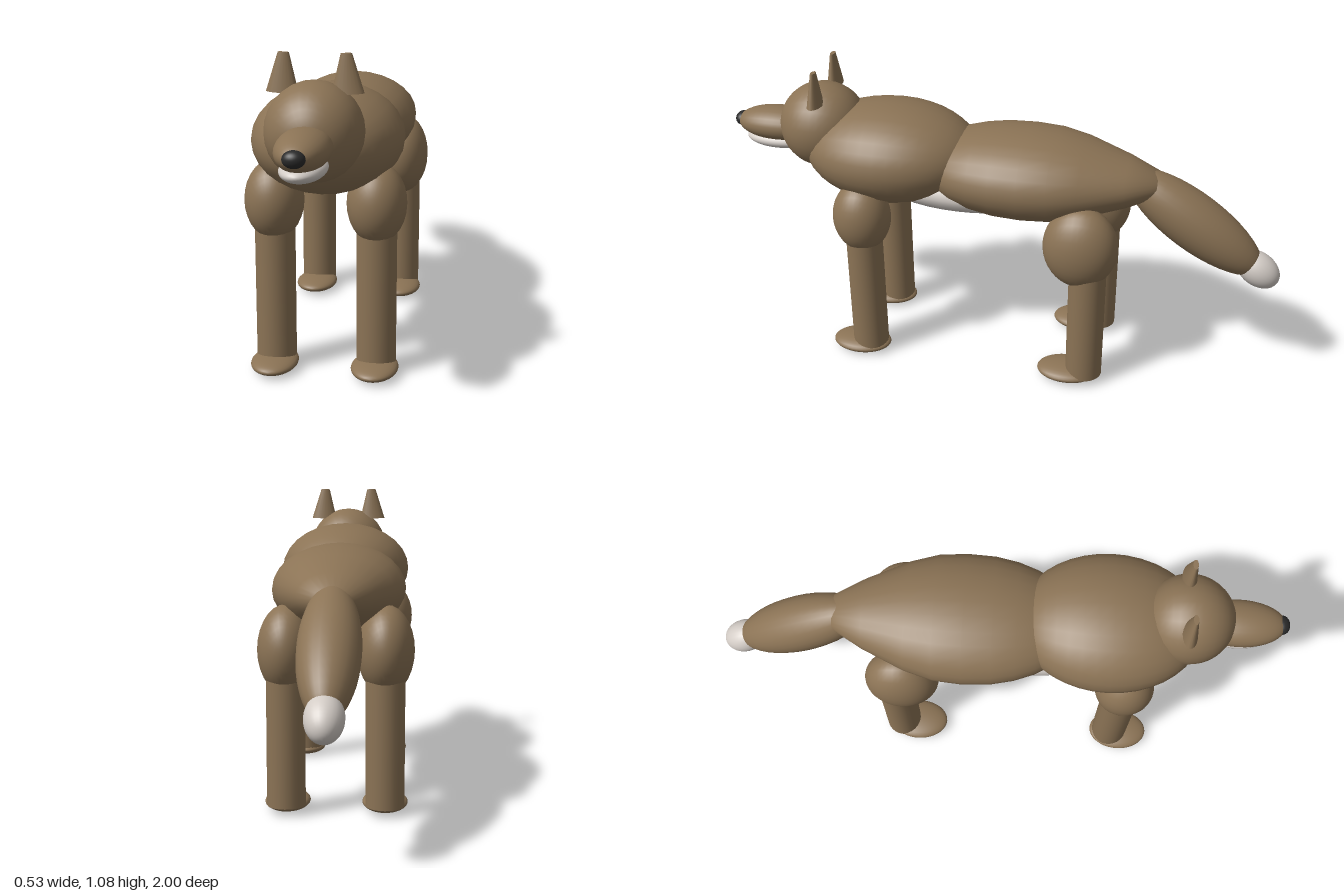
import * as THREE from 'three';

export function createModel() {
  const model = new THREE.Group();
  model.name = 'canine';
  const material = (name, color) => {
    const m = new THREE.MeshStandardMaterial({ color });
    m.name = name;
    return m;
  };
  const fur = material('brown fur', 0x8b7355);
  const pale = material('pale fur', 0xd3ccc6);
  const black = material('nose black', 0x2a2a2a);

  const add = (name, geometry, mat, position, parent = model) => {
    const mesh = new THREE.Mesh(geometry, mat);
    mesh.name = name;
    mesh.position.set(...position);
    parent.add(mesh);
    return mesh;
  };
  // Ellipsoid whose poles point along z
  const ellipsoid = (name, mat, position, radii, parent) => {
    const g = new THREE.SphereGeometry(1, 28, 20).rotateX(Math.PI / 2).scale(...radii);
    return add(name, g, mat, position, parent);
  };

  // Body: oval sections tapering to the rump
  const profile = [
    [0, -0.565], [0.065, -0.555], [0.127, -0.45], [0.197, -0.3], [0.227, -0.2], [0.235, -0.1],
    [0.23, 0], [0.213, 0.08], [0.187, 0.15], [0.14, 0.23], [0.07, 0.29], [0, 0.31],
  ].map(([r, z]) => new THREE.Vector2(r, z));
  add('body', new THREE.LatheGeometry(profile, 28).rotateX(Math.PI / 2).scale(1, 0.66, 1), fur, [0, 0.745, 0]);
  ellipsoid('chest', fur, [0, 0.775, 0.4], [0.247, 0.175, 0.32]);
  ellipsoid('belly', pale, [0, 0.675, 0.13], [0.17, 0.087, 0.35]);

  // Head
  const head = new THREE.Group();
  head.name = 'head';
  model.add(head);
  ellipsoid('skull', fur, [0, 0.845, 0.657], [0.153, 0.155, 0.157], head);
  ellipsoid('snout', fur, [0, 0.83, 0.83], [0.083, 0.061, 0.158], head);
  ellipsoid('lowerJaw', pale, [0, 0.774, 0.83], [0.07, 0.034, 0.13], head);
  ellipsoid('nose', black, [0, 0.833, 0.973], [0.034, 0.026, 0.027], head);

  // Tail slopes down and back
  const tail = new THREE.Group();
  tail.name = 'tail';
  tail.position.set(0, 0.615, -0.69);
  tail.rotation.x = -0.6;
  model.add(tail);
  ellipsoid('tailBrush', fur, [0, 0, 0], [0.1, 0.1, 0.29], tail);
  ellipsoid('tailTip', pale, [0, 0, -0.283], [0.06, 0.06, 0.085], tail);

  // Ears and legs, mirrored
  for (const [side, s] of [['left', 1], ['right', -1]]) {
    const ear = new THREE.CylinderGeometry(0.017, 0.05, 0.12, 20).scale(1, 1, 0.5);
    add(side + 'Ear', ear, fur, [s * 0.097, 1.02, 0.643], head).rotation.z = s * 0.04;

    for (const [end, thighZ, thighY, ry, rz, shinZ, pawZ] of [
      ['Front', 0.473, 0.578, 0.133, 0.104, 0.47, 0.505],
      ['Rear', -0.318, 0.558, 0.152, 0.131, -0.348, -0.287],
    ]) {
      const leg = new THREE.Group();
      leg.name = side + end + 'Leg';
      leg.position.x = s * 0.167;
      model.add(leg);
      ellipsoid('upperLeg', fur, [0, thighY, thighZ], [0.097, ry, rz], leg);
      add('lowerLeg', new THREE.CylinderGeometry(0.066, 0.066, 0.47, 24), fur, [0, 0.265, shinZ], leg);
      ellipsoid('paw', fur, [0, 0.028, pawZ], [0.078, 0.027, 0.11], leg);
    }
  }
  return model;
}
